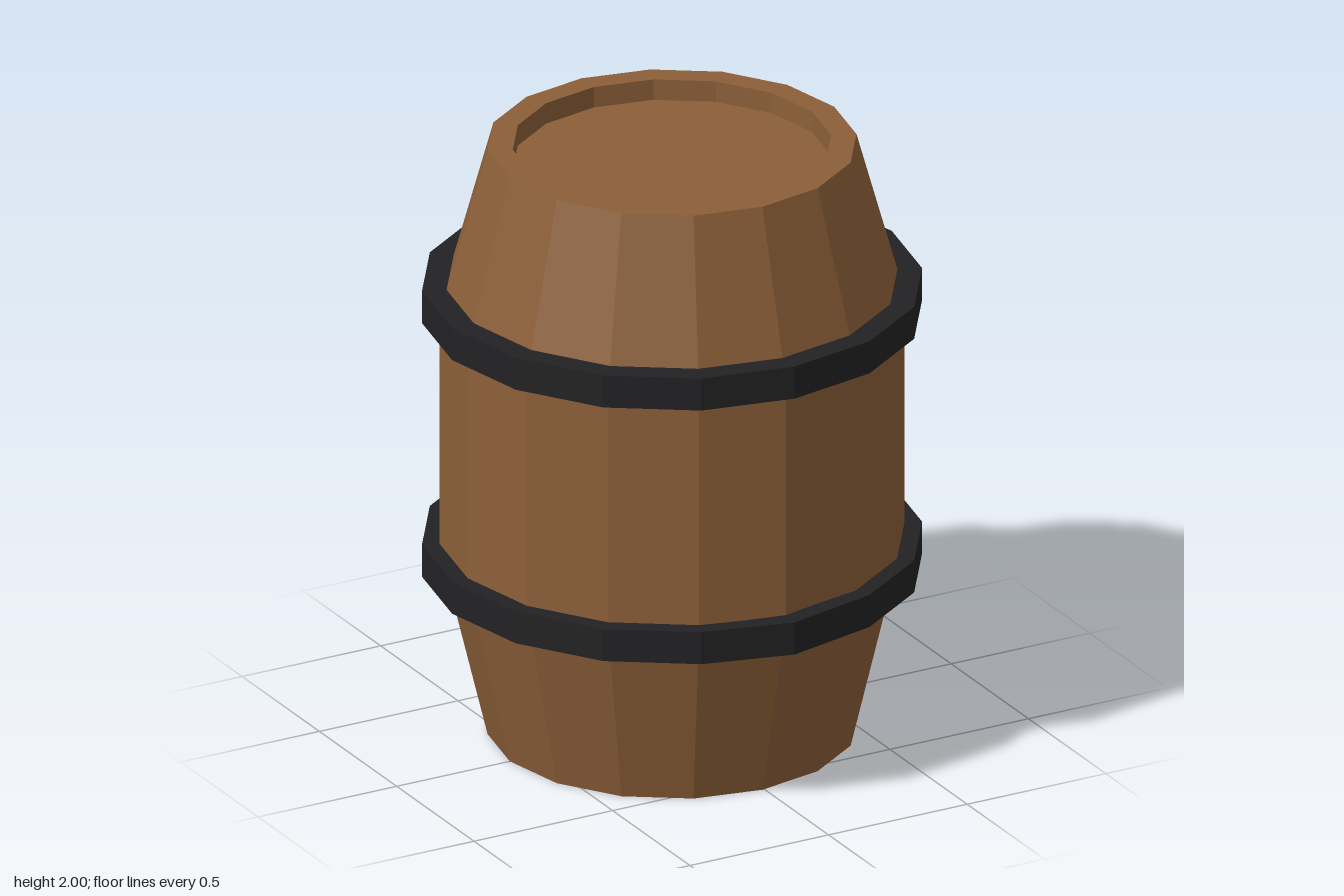
import * as THREE from 'three';

const SIDES = 16;
const CENTER_X = -0.007;

// Faceted solid of revolution; nudge(v) shifts single corners for a hand-made look
function turned(name, profile, color, nudge) {
  const geometry = new THREE.LatheGeometry(profile.map(([r, y]) => new THREE.Vector2(r, y)), SIDES);
  const pos = geometry.attributes.position;
  const v = new THREE.Vector3();
  for (let i = 0; i < pos.count; i++) {
    v.fromBufferAttribute(pos, i);
    nudge(v);
    pos.setXYZ(i, v.x, v.y, v.z);
  }
  geometry.computeVertexNormals();
  const mesh = new THREE.Mesh(geometry, new THREE.MeshStandardMaterial({ color, flatShading: true }));
  mesh.name = name;
  mesh.position.x = CENTER_X;
  return mesh;
}

// Closed rectangular ring from y0 to y1
function hoop(name, y0, y1, nudge) {
  const inner = 0.69, outer = 0.793;
  const profile = [[inner, y0], [outer, y0], [outer, y1], [inner, y1], [inner, y0]];
  return turned(name, profile, 0x222224, nudge);
}

export function createModel() {
  const barrel = new THREE.Group();
  barrel.name = 'barrel';

  // Wooden body with recessed lids at both ends
  barrel.add(turned('woodenBody', [
    [0, 0.07], [0.505, 0.07], [0.505, 0], [0.585, 0],
    [0.737, 0.64], [0.737, 1.45],
    [0.585, 2], [0.505, 2], [0.505, 1.93], [0, 1.93],
  ], 0x8c5f38, (v) => {
    if (v.x > 0.72 && v.y > 1) v.x += 0.012;
  }));

  // Iron hoops, each with one slightly bent corner
  barrel.add(hoop('lowerHoop', 0.55, 0.66, (v) => {
    if (v.z > 0.78) v.y -= 0.008;
  }));
  barrel.add(hoop('upperHoop', 1.42, 1.53, (v) => {
    if (v.x > 0.78 && v.y < 1.5) v.x += 0.014;
  }));

  return barrel;
}
